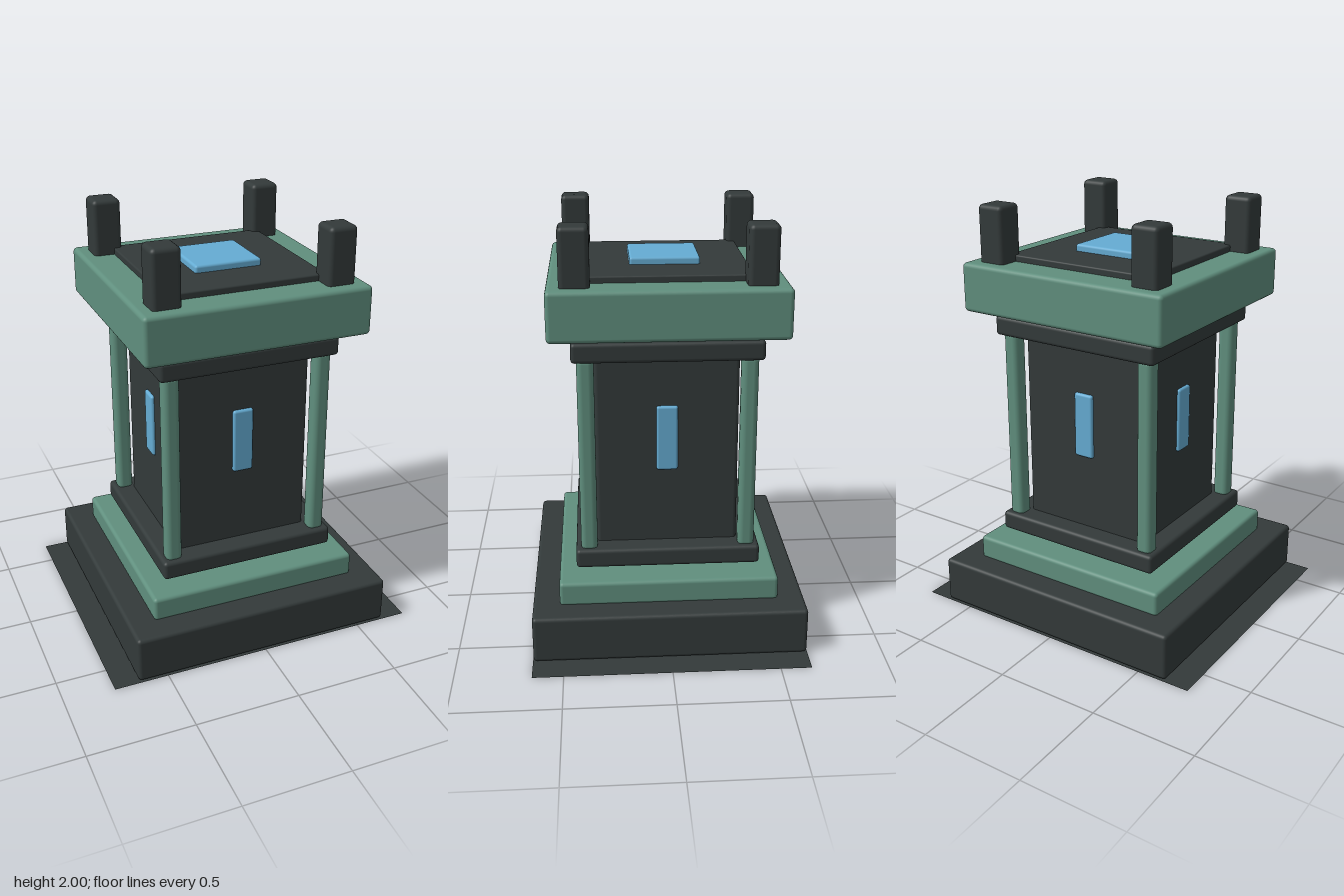
import * as THREE from 'three';
import { RoundedBoxGeometry } from 'three/addons/geometries/RoundedBoxGeometry.js';

const material = (name, color, side = THREE.FrontSide) => {
  const m = new THREE.MeshStandardMaterial({ color, side });
  m.name = name;
  return m;
};

export function createModel() {
  const model = new THREE.Group();
  model.name = 'stoneShrine';
  const darkStone = material('darkStone', 0x333a3a, THREE.DoubleSide);
  const greenStone = material('greenStone', 0x608f7e);
  const blueGlow = material('blueGlow', 0x65acd3);

  // Softly bevelled block, placed by its lower and upper height
  const block = (name, mat, width, y0, y1, { depth = width, x = 0, z = 0, bevel = 0.018 } = {}) => {
    const mesh = new THREE.Mesh(new RoundedBoxGeometry(width, y1 - y0, depth, 3, bevel), mat);
    mesh.position.set(x, (y0 + y1) / 2, z);
    mesh.name = name;
    model.add(mesh);
    return mesh;
  };

  // Flat ground sheet
  const sheet = new THREE.Mesh(new THREE.PlaneGeometry(1.52, 1.29), darkStone);
  sheet.name = 'groundSheet';
  sheet.rotation.x = -Math.PI / 2;
  model.add(sheet);

  // Stepped base, body, collars and roof
  block('base', darkStone, 1.284, 0.003, 0.229);
  block('step', greenStone, 1.032, 0.22, 0.339);
  block('body', darkStone, 0.665, 0.32, 1.53);
  block('lowerCollar', darkStone, 0.867, 0.374, 0.466);
  block('upperCollar', darkStone, 0.867, 1.386, 1.479);
  block('roof', greenStone, 1.066, 1.508, 1.737, { bevel: 0.02 });
  block('roofSlab', darkStone, 0.76, 1.70, 1.767, { bevel: 0.008 });
  block('roofLight', blueGlow, 0.322, 1.75, 1.80, { bevel: 0.012 });

  // Corner columns and roof posts
  for (const x of [-1, 1]) {
    for (const z of [-1, 1]) {
      block('cornerColumn', greenStone, 0.078, 0.45, 1.40, { x: x * 0.371, z: z * 0.371, bevel: 0.026 });
      block('roofPost', darkStone, 0.135, 1.72, 2, { x: x * 0.407, z: z * 0.407, bevel: 0.022 });
    }
  }

  // One window slit on each side
  for (let i = 0; i < 4; i++) {
    const angle = (i * Math.PI) / 2;
    const slit = block('windowSlit', blueGlow, 0.1, 0.832, 1.148,
      { depth: 0.04, x: Math.sin(angle) * 0.328, z: Math.cos(angle) * 0.328, bevel: 0.012 });
    slit.rotation.y = angle;
  }
  return model;
}
